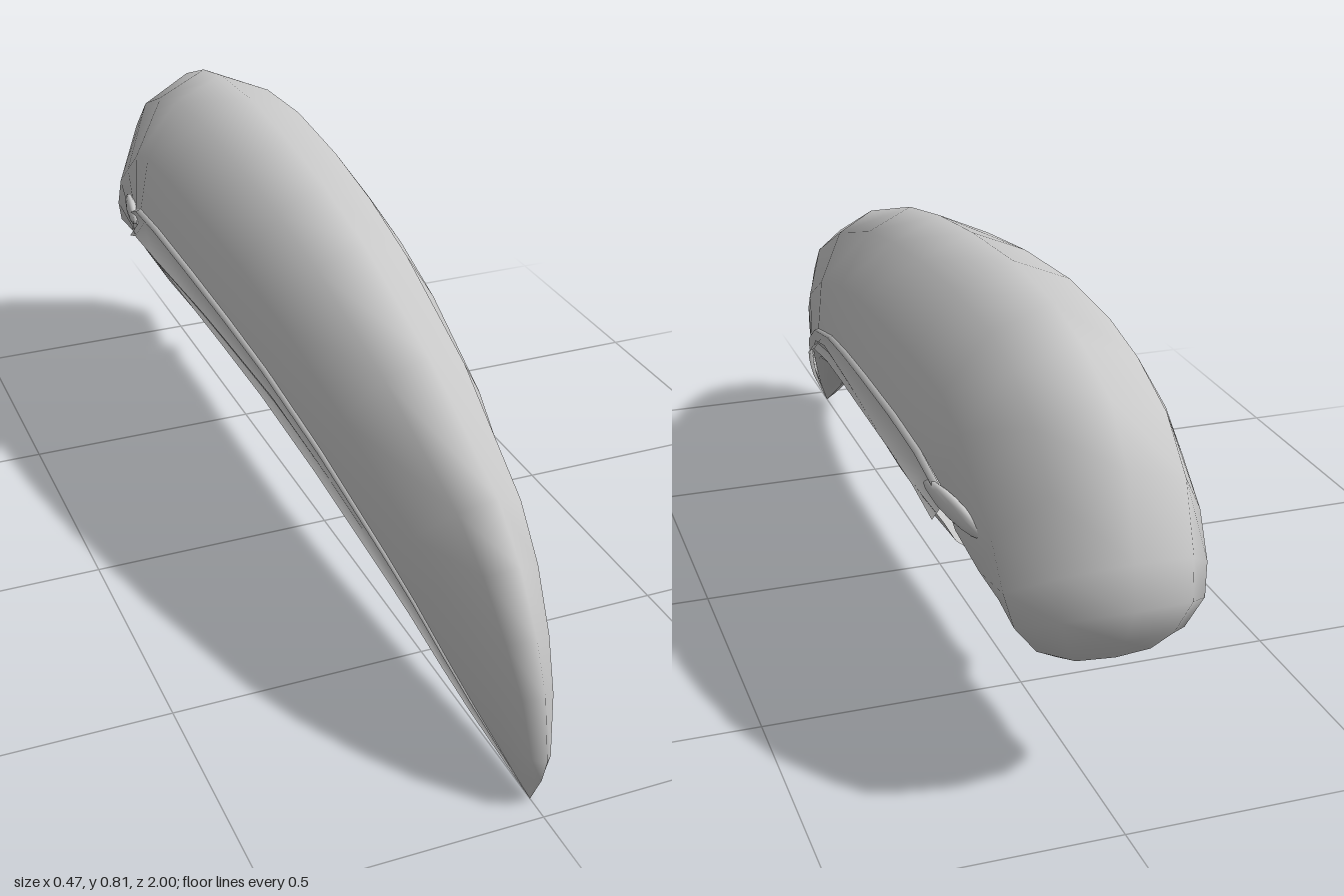
import * as THREE from 'three';

const SEGS = 6;
const material = new THREE.MeshStandardMaterial({ color: 0xcccccc, side: THREE.DoubleSide });

// Skin a list of equally long rows of points
function skin(rows, flip) {
  const n = rows[0].length, index = [];
  for (let i = 0; i < rows.length - 1; i++) {
    for (let j = 0; j < n - 1; j++) {
      const a = i * n + j, b = a + 1, c = a + n, d = c + 1;
      index.push(...(flip ? [a, c, b, b, c, d] : [a, b, c, b, d, c]));
    }
  }
  const geo = new THREE.BufferGeometry();
  geo.setAttribute('position', new THREE.Float32BufferAttribute(rows.flat(2), 3));
  geo.setIndex(index);
  geo.computeVertexNormals();
  return geo;
}

// Arched cross-section from one rim over the ridge to the other; tuck pulls the rims inward
function arch([zRidge, yRidge, zRim, yRim, w], power, tuck = 0) {
  const row = [];
  for (let j = 0; j <= SEGS; j++) {
    const a = (j / SEGS - 0.5) * Math.PI;
    const h = Math.pow(Math.max(Math.cos(a), 0), power);
    row.push([w * Math.sin(a * (1 + tuck)), yRim + (yRidge - yRim) * h, zRim + (zRidge - zRim) * h]);
  }
  return row;
}

// Stations: ridge z, ridge y, rim z, rim y, half width
const UPPER = [
  [0.95, 0.003, 0.95, 0.003, 0], [0.985, 0.07, 0.92, 0.035, 0.014], [1, 0.12, 0.88, 0.085, 0.035],
  [0.98, 0.24, 0.83, 0.14, 0.058], [0.94, 0.33, 0.76, 0.2, 0.08], [0.87, 0.43, 0.68, 0.265, 0.102],
  [0.78, 0.51, 0.6, 0.315, 0.12], [0.5, 0.64, 0.38, 0.42, 0.158], [0.2, 0.735, 0.16, 0.485, 0.183],
  [0, 0.775, -0.02, 0.518, 0.199], [-0.2, 0.8, -0.2, 0.54, 0.211], [-0.42, 0.815, -0.42, 0.55, 0.217],
  [-0.62, 0.805, -0.56, 0.54, 0.215], [-0.74, 0.78, -0.64, 0.505, 0.205],
  [-0.87, 0.73, -0.68, 0.44, 0.198], [-0.95, 0.64, -0.76, 0.4, 0.19], [-0.99, 0.5, -0.81, 0.37, 0.182],
  [-1, 0.42, -0.84, 0.335, 0.168], [-0.97, 0.35, -0.87, 0.305, 0.13], [-0.93, 0.3, -0.88, 0.3, 0.09],
];
const LOWER = [
  [0.95, 0.003, 0.95, 0.003, 0], [0.88, 0.065, 0.88, 0.08, 0.033], [0.8, 0.12, 0.8, 0.16, 0.062],
  [0.7, 0.172, 0.7, 0.235, 0.092], [0.6, 0.21, 0.6, 0.29, 0.118], [0.4, 0.258, 0.4, 0.385, 0.16],
  [0.2, 0.285, 0.2, 0.45, 0.19], [-0.1, 0.305, -0.1, 0.488, 0.22], [-0.4, 0.315, -0.4, 0.49, 0.235],
  [-0.55, 0.31, -0.6, 0.475, 0.226], [-0.61, 0.305, -0.67, 0.45, 0.207],
];

export function createModel() {
  const group = new THREE.Group();
  const add = (name, geo) => {
    const mesh = new THREE.Mesh(geo, material);
    mesh.name = name;
    group.add(mesh);
    return mesh;
  };

  // Upper bill: peaked along its length, wrapping inward at the back
  add('upperBill', skin(UPPER.map((s, i) => arch(s, 1.3, Math.max(0, i - 12) * 0.08)), false));

  // Lower bill: open trough
  add('lowerBill', skin(LOWER.map((s) => arch(s, 1.6)), true));

  for (const side of [1, -1]) {
    const label = side > 0 ? 'left' : 'right';

    // Flanged lip with a groove, between the upper and lower bill
    const lip = UPPER.slice(0, 14).map(([, , z, y, w]) => {
      const k = w / 0.217;
      return [[0, 0], [0.013, -0.004], [-0.006, -0.035], [0.016, -0.064]]
        .map(([dx, dy]) => [side * (w + dx * k), y + dy * k, z]);
    });
    add(label + 'Lip', skin(lip, side < 0));

    // Small fold at the corner of the mouth
    const fold = add(label + 'MouthCorner', new THREE.SphereGeometry(1, 10, 8));
    fold.scale.set(0.012, 0.022, 0.1);
    fold.position.set(side * 0.2, 0.487, -0.69);
    fold.rotation.set(-0.1, side * 0.2, 0);
  }
  return group;
}
